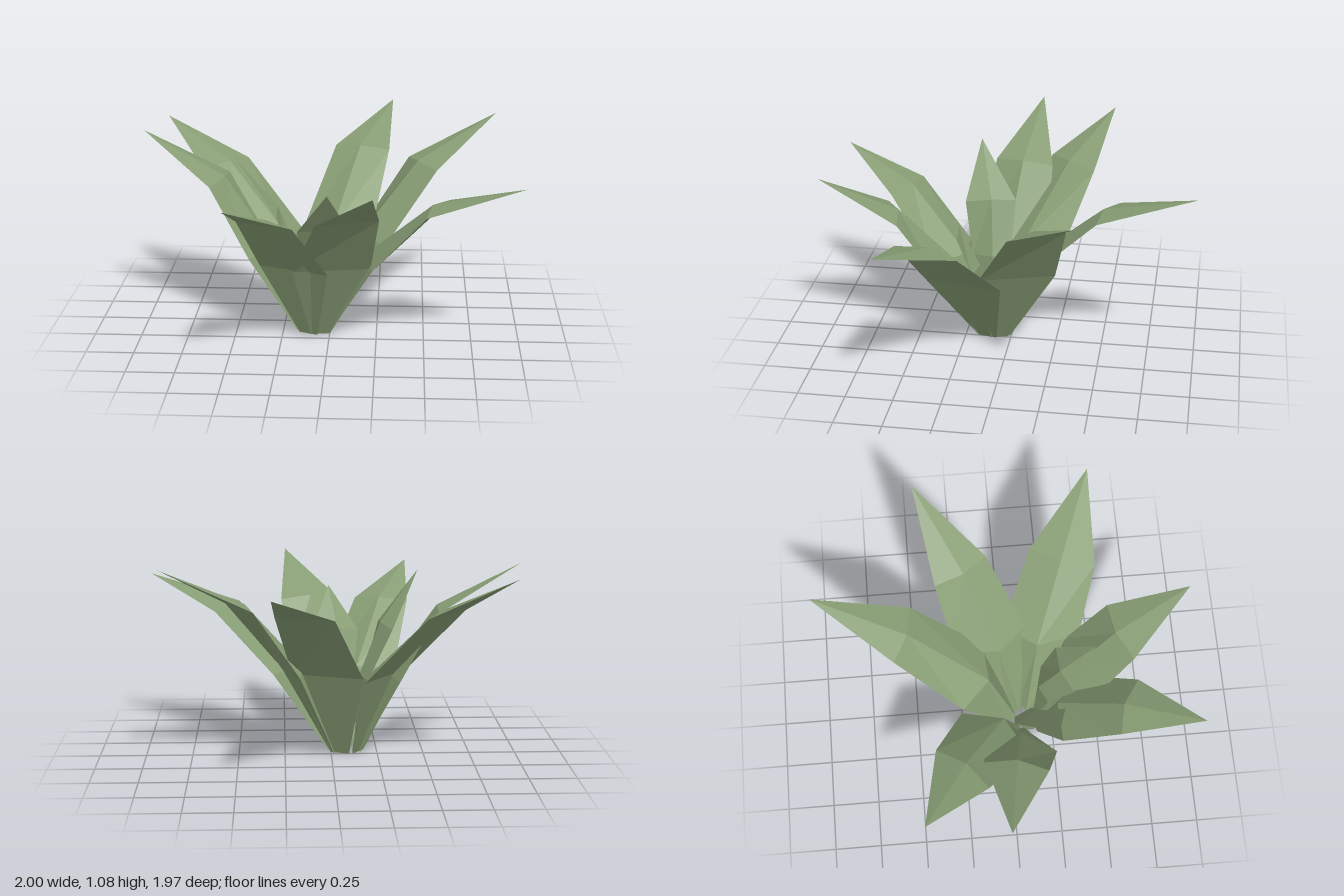
import * as THREE from 'three';

// The point all leaves grow from
const CENTER = new THREE.Vector3(-0.08, 0, 0.1);

// Each leaf: two edge points at the lower and middle stations [x, z], their heights, and the tip
const LARGE = [
  { low: [[-0.16, -0.24], [0.21, -0.11]], lowY: 0.47, mid: [[0, -0.58], [0.3, -0.48]], midY: 0.845, tip: [0.315, 1.02, -0.985] },
  { low: [[0.17, -0.26], [0.29, 0.13]], lowY: 0.48, mid: [[0.41, -0.34], [0.56, -0.06]], midY: 0.845, tip: [0.885, 1.08, -0.42] },
  { low: [[0.31, 0.01], [0.23, 0.42]], lowY: 0.44, mid: [[0.625, 0.18], [0.5, 0.52]], midY: 0.755, tip: [0.995, 0.915, 0.52] },
  { low: [[0.22, 0.34], [-0.18, 0.41]], lowY: 0.425, mid: [[0.265, 0.56], [-0.05, 0.67]], midY: 0.755, tip: [0.24, 0.985, 0.975] },
  { low: [[0, 0.425], [-0.36, 0.28]], lowY: 0.415, mid: [[-0.16, 0.68], [-0.45, 0.56]], midY: 0.74, tip: [-0.47, 0.915, 0.98] },
  { low: [[-0.42, 0.24], [-0.36, -0.15]], lowY: 0.43, mid: [[-0.63, 0.17], [-0.56, -0.155]], midY: 0.8, tip: [-1, 1.05, -0.05] },
  { low: [[-0.41, 0.08], [-0.17, -0.25]], lowY: 0.45, mid: [[-0.7, -0.14], [-0.48, -0.395]], midY: 0.815, tip: [-0.93, 1.03, -0.47] },
];
const SMALL = [
  { low: [[-0.19, 0.24], [-0.2, 0.03]], lowY: 0.4, mid: [[-0.27, 0.29], [-0.33, 0.02]], midY: 0.68, tip: [-0.48, 0.975, 0.23] },
  { low: [[0.08, 0.2], [-0.13, 0.22]], lowY: 0.4, mid: [[0.1, 0.275], [-0.16, 0.35]], midY: 0.62, tip: [0, 0.85, 0.47] },
];

// Solid leaf with a ridged inner face and a flat back, lofted from base to tip
function leafGeometry(leaf, baseRadius, baseHalf, baseFold, lowFold) {
  const low = leaf.low.map(([x, z]) => new THREE.Vector3(x, leaf.lowY, z));
  const mid = leaf.mid.map(([x, z]) => new THREE.Vector3(x, leaf.midY, z));
  const across = low[1].clone().sub(low[0]).normalize();
  const out = low[0].clone().add(low[1]).multiplyScalar(0.5).sub(CENTER).setY(0).normalize();
  const root = CENTER.clone().addScaledVector(out, baseRadius);
  const base = [-1, 1].map((s) => root.clone().addScaledVector(across, s * baseHalf));

  // The midrib sits inward of, and slightly above, the leaf edges
  const station = ([a, b], inward, up) => {
    const rib = a.clone().add(b).multiplyScalar(0.5).addScaledVector(out, -inward);
    rib.y += up;
    return [a, rib, b];
  };
  const tip = new THREE.Vector3(...leaf.tip);
  const rows = [
    station(base, baseFold, 0),
    station(low, lowFold, 0.01),
    station(mid, 0.03, 0.02),
    [tip, tip, tip],
  ];

  const pos = [];
  const tri = (...pts) => pts.forEach((p) => pos.push(p.x, p.y, p.z));
  tri(...rows[0]);
  for (let r = 0; r < 3; r++) {
    for (let c = 0; c < 3; c++) {
      const n = (c + 1) % 3;
      tri(rows[r][c], rows[r + 1][n], rows[r][n]);
      if (r < 2) tri(rows[r][c], rows[r + 1][c], rows[r + 1][n]);
    }
  }
  const g = new THREE.BufferGeometry();
  g.setAttribute('position', new THREE.Float32BufferAttribute(pos, 3));
  g.computeVertexNormals();
  return g;
}

export function createModel() {
  const plant = new THREE.Group();
  plant.name = 'leafyPlant';
  const leafGreen = new THREE.MeshStandardMaterial({ color: 0x879d74, side: THREE.DoubleSide, flatShading: true });
  leafGreen.name = 'leaf green';

  const addLeaves = (list, name, ...shape) => list.forEach((leaf, i) => {
    const mesh = new THREE.Mesh(leafGeometry(leaf, ...shape), leafGreen);
    mesh.name = `${name}${i + 1}`;
    plant.add(mesh);
  });
  addLeaves(LARGE, 'outerLeaf', 0.09, 0.052, 0.04, 0.09);
  addLeaves(SMALL, 'innerLeaf', 0.07, 0.03, 0.02, 0.04);
  return plant;
}
